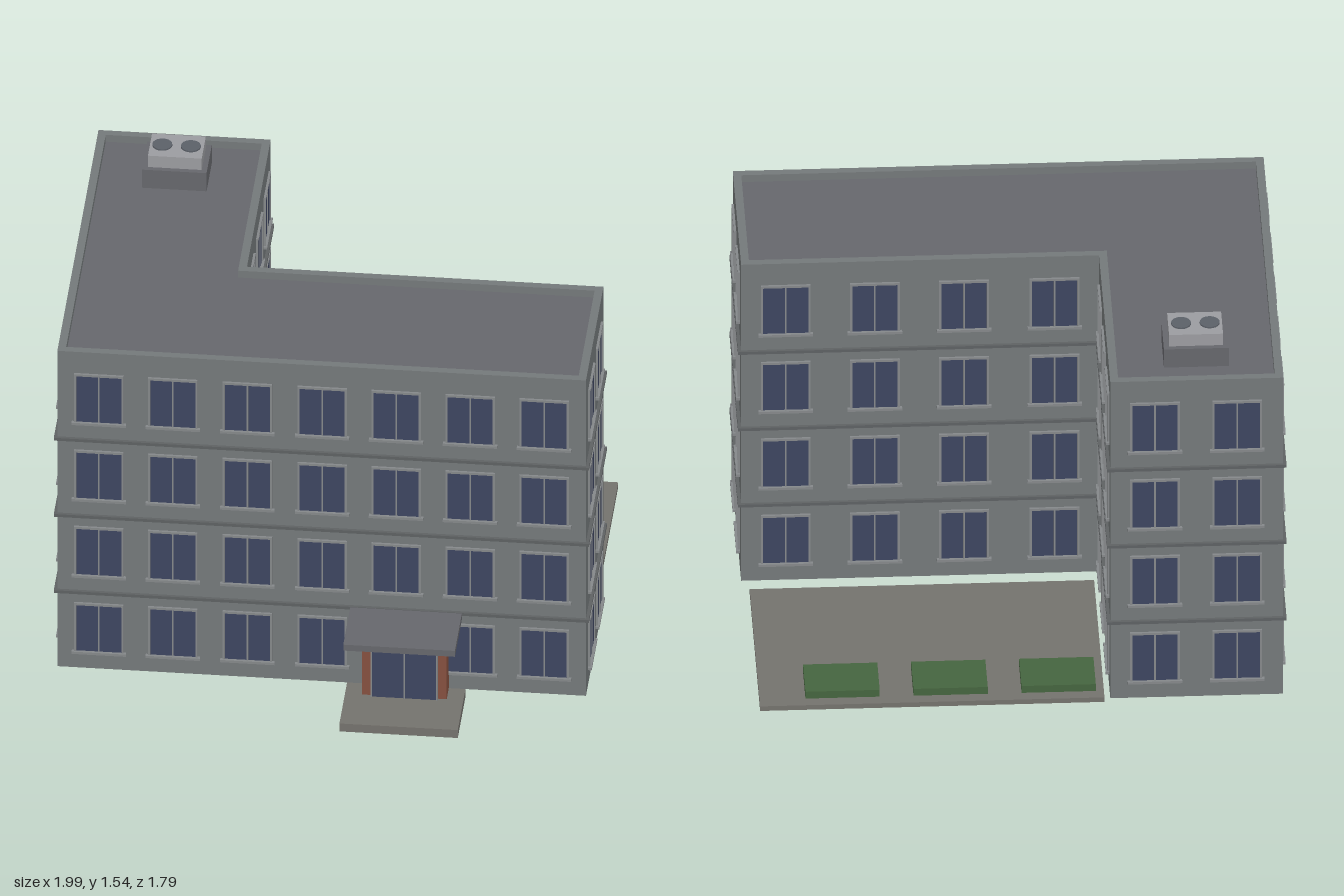
import * as THREE from 'three';
import { mergeGeometries } from 'three/addons/utils/BufferGeometryUtils.js';

const mat = (color) => new THREE.MeshStandardMaterial({ color });
const M = {
  wall: mat(0x74797a), roof: mat(0x66676c), band: mat(0x5e6163), trim: mat(0x85888a),
  glass: mat(0x3d4560), brick: mat(0x85503f), paving: mat(0x74726d), green: mat(0x45653f),
  unit: mat(0x9b9ca0), fan: mat(0x5b6068),
};

// Box geometry given by its min and max on each axis
function boxGeo(x0, x1, y0, y1, z0, z1) {
  const g = new THREE.BoxGeometry(x1 - x0, y1 - y0, z1 - z0);
  return g.translate((x0 + x1) / 2, (y0 + y1) / 2, (z0 + z1) / 2);
}

function mesh(name, geo, material) {
  const m = new THREE.Mesh(geo, material);
  m.name = name;
  return m;
}

// Corners of the L-shaped plan, pushed outwards by d
function plan(d) {
  const l = -0.985 - d, r = 0.98 + d, f = 0.615 + d, b = -0.88 - d;
  const ix = -0.345 + d, iz = -0.02 - d;
  return [[l, f], [r, f], [r, iz], [ix, iz], [ix, b], [l, b]]
    .map(([x, z]) => new THREE.Vector2(x, -z));
}

// Extrudes the plan upwards, with an optional inner outline cut out
function slab(outer, y0, y1, inner) {
  const shape = new THREE.Shape(plan(outer));
  if (inner !== undefined) shape.holes.push(new THREE.Path(plan(inner)));
  return new THREE.ExtrudeGeometry(shape, { depth: y1 - y0, bevelEnabled: false })
    .rotateX(-Math.PI / 2).translate(0, y0, 0);
}

// Window facing +z with its bottom centre at the origin
const W = 0.086, H = 0.208;
const glassGeo = boxGeo(-W, W, 0, H, -0.005, 0.003);
const frameGeo = mergeGeometries([
  boxGeo(-W - 0.006, -W + 0.002, 0, H, -0.005, 0.008),
  boxGeo(W - 0.002, W + 0.006, 0, H, -0.005, 0.008),
  boxGeo(-W - 0.006, W + 0.006, H - 0.003, H + 0.006, -0.005, 0.009),
  boxGeo(-0.003, 0.003, 0, H, -0.005, 0.007),
  boxGeo(-W - 0.015, W + 0.015, -0.008, 0.002, -0.005, 0.014),
]);

function makeWindow(x, y, z, angle) {
  const g = new THREE.Group();
  g.name = 'window';
  g.add(mesh('windowGlass', glassGeo, M.glass), mesh('windowFrame', frameGeo, M.trim));
  g.position.set(x, y, z);
  g.rotation.y = angle;
  return g;
}

export function createModel() {
  const model = new THREE.Group();
  model.name = 'officeBuilding';
  const add = (name, geo, material) => model.add(mesh(name, geo, material));

  // L-shaped body, parapet and floor bands
  add('walls', slab(0, 0.035, 1.39), M.wall);
  add('roofDeck', slab(-0.02, 1.39, 1.4), M.roof);
  add('parapet', slab(0, 1.39, 1.43, -0.03), M.wall);
  for (const y of [0.372, 0.709, 1.046]) add('floorBand', slab(0.012, y - 0.006, y + 0.006), M.band);

  // Windows: centres along each wall, placed on every floor
  const walls = [
    { name: 'frontWindows', at: [-0.83, -0.555, -0.278, 0, 0.275, 0.55, 0.825], pos: (t) => [t, 0.615], angle: 0 },
    { name: 'backWindows', at: [0.815, 0.485, 0.155, -0.18], pos: (t) => [t, -0.02], angle: Math.PI },
    { name: 'wingBackWindows', at: [-0.51, -0.815], pos: (t) => [t, -0.88], angle: Math.PI },
    { name: 'leftEndWindows', at: [0.443, 0.165], pos: (t) => [0.98, t], angle: Math.PI / 2 },
    { name: 'courtyardWindows', at: [-0.165, -0.443, -0.72], pos: (t) => [-0.345, t], angle: Math.PI / 2 },
    { name: 'rightSideWindows', at: [0.425, 0.147, -0.13, -0.41, -0.685], pos: (t) => [-0.985, t], angle: -Math.PI / 2 },
  ];
  for (const w of walls) {
    const group = new THREE.Group();
    group.name = w.name;
    for (let floor = 0; floor < 4; floor++) {
      for (const t of w.at) {
        // The entrance takes the place of one ground floor window
        if (floor === 0 && w.angle === 0 && t === 0.275) continue;
        const [x, z] = w.pos(t);
        group.add(makeWindow(x, 0.11 + floor * 0.3375, z, w.angle));
      }
    }
    model.add(group);
  }

  // Entrance: portal, glazed doors, canopy and step
  add('entrancePortal', boxGeo(0.155, 0.47, 0.035, 0.35, 0.6, 0.69), M.brick);
  add('doorGlass', boxGeo(0.192, 0.434, 0.035, 0.31, 0.68, 0.7), M.glass);
  add('doorFrame', mergeGeometries([
    boxGeo(0.188, 0.194, 0.035, 0.316, 0.68, 0.705),
    boxGeo(0.432, 0.438, 0.035, 0.316, 0.68, 0.705),
    boxGeo(0.31, 0.316, 0.035, 0.31, 0.68, 0.704),
    boxGeo(0.188, 0.438, 0.308, 0.316, 0.68, 0.705),
  ]), M.trim);
  add('canopy', boxGeo(0.105, 0.52, 0.35, 0.376, 0.605, 0.88), M.roof);
  add('entranceStep', boxGeo(0.092, 0.532, 0, 0.035, 0.605, 0.893), M.paving);

  // Courtyard paving with planting beds
  add('courtyard', boxGeo(-0.325, 0.95, 0, 0.02, -0.85, -0.055), M.paving);
  for (const x of [-0.295, 0.105, 0.505]) {
    add('plantingBed', boxGeo(x, x + 0.275, 0.018, 0.05, -0.805, -0.62), M.green);
  }

  // Rooftop ventilation unit
  add('ventBase', boxGeo(-0.79, -0.55, 1.395, 1.48, -0.745, -0.555), M.roof);
  add('ventHousing', boxGeo(-0.77, -0.57, 1.48, 1.53, -0.725, -0.575), M.unit);
  for (const x of [-0.724, -0.618]) {
    add('ventFan', new THREE.CylinderGeometry(0.037, 0.037, 0.01, 20).translate(x, 1.531, -0.65), M.fan);
  }

  return model;
}
